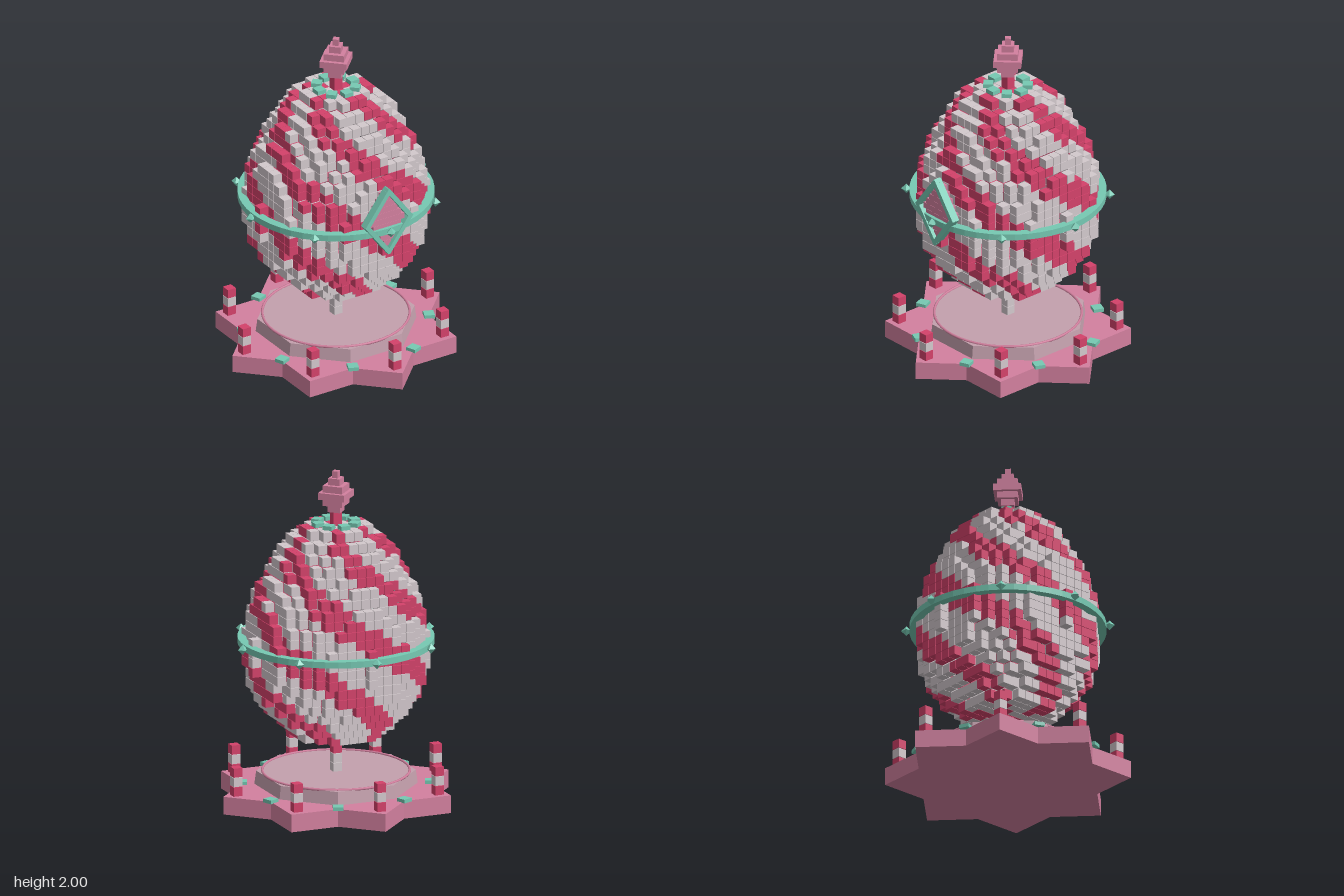
import * as THREE from 'three';
import { mergeGeometries } from 'three/addons/utils/BufferGeometryUtils.js';

const mat = (name, color) => {
  const m = new THREE.MeshStandardMaterial({ color });
  m.name = name;
  return m;
};

export function createModel() {
  const red = mat('red', 0xd4426b), white = mat('paleGrey', 0xd3c9cd);
  const pink = mat('pink', 0xd3809f), teal = mat('teal', 0x76c9b3);
  const plate = mat('dustyPink', 0xc4a0ad);
  const model = new THREE.Group();
  const P = 0.0575, CUBE = 0.0548, EGG_Y = 0.41;

  const add = (name, geo, material) => {
    const m = new THREE.Mesh(geo, material);
    m.name = name;
    model.add(m);
    return m;
  };
  const box = (w, h, d, x, y, z, turn = 0) =>
    new THREE.BoxGeometry(w, h, d).rotateY(turn).translate(x, y, z);
  const cube = (x, y, z) => box(CUBE, CUBE, CUBE, x, y, z);
  const flat = (geo) => {
    const g = geo.index ? geo.toNonIndexed() : geo;
    g.computeVertexNormals();
    return g;
  };
  // Calls fn(x, z, angle) at eight places around a circle
  const around = (r, start, fn) => {
    const list = [];
    for (let i = 0; i < 8; i++) {
      const a = start + i * Math.PI / 4;
      list.push(fn(r * Math.sin(a), r * Math.cos(a), a));
    }
    return list;
  };

  // Eight-pointed star base
  const star = new THREE.Shape();
  for (let i = 0; i < 16; i++) {
    const r = i % 2 ? 0.549 : 0.717, a = i * Math.PI / 8;
    if (i) star.lineTo(r * Math.cos(a), r * Math.sin(a));
    else star.moveTo(r, 0);
  }
  add('starBase', new THREE.ExtrudeGeometry(star, { depth: 0.107, bevelEnabled: false })
    .rotateX(-Math.PI / 2), pink);

  // Octagonal plate with a thin rim line
  add('basePlate', flat(new THREE.CylinderGeometry(0.465, 0.476, 0.08, 8)
    .rotateY(Math.PI / 8).translate(0, 0.146, 0)), plate);
  add('plateRim', new THREE.TorusGeometry(0.43, 0.008, 6, 48)
    .rotateX(Math.PI / 2).translate(0, 0.188, 0), pink);

  // Teal studs in the notches of the star
  add('baseStuds', mergeGeometries(around(0.55, Math.PI / 8,
    (x, z, a) => box(0.062, 0.022, 0.062, x, 0.116, z, a))), teal);

  // Banded corner posts
  for (let k = 0; k < 3; k++) {
    add('postBand' + k, mergeGeometries(around(0.635, 0,
      (x, z) => cube(x, 0.135 + k * P, z))), k === 1 ? white : red);
  }

  // Stem carrying the egg
  const stem = (ks) => mergeGeometries(ks.map((k) => cube(0, EGG_Y - (k + 0.5) * P, 0)));
  add('stemRed', stem([0, 1]), red);
  add('stemPale', stem([2, 3]), white);

  // Egg: layers of cubes, only the exposed ones, with five spiral stripes
  const radii = [4.6, 5.8, 6.8, 7.6, 8.2, 8.6, 8.9, 9.05, 9.05, 9.05, 9.05,
    8.9, 8.7, 8.4, 8.1, 7.7, 7.2, 6.7, 6.1, 5.4, 4.5, 3.3];
  const inside = (i, j, k) => j >= 0 && j < radii.length && i * i + k * k <= radii[j] ** 2;
  const redCubes = [], paleCubes = [];
  for (let j = 0; j < radii.length; j++) {
    for (let i = -9; i <= 9; i++) {
      for (let k = -9; k <= 9; k++) {
        if (!inside(i, j, k)) continue;
        const buried = inside(i + 1, j, k) && inside(i - 1, j, k) && inside(i, j + 1, k)
          && inside(i, j - 1, k) && inside(i, j, k + 1) && inside(i, j, k - 1);
        if (buried) continue;
        const t = 5 * Math.atan2(i, k) / (2 * Math.PI) + (j - 7.6) / 7.25;
        const list = Math.abs(t - Math.round(t)) < 0.21 ? redCubes : paleCubes;
        list.push(cube(i * P, EGG_Y + (j + 0.5) * P, k * P));
      }
    }
  }
  add('eggStripes', mergeGeometries(redCubes), red);
  add('eggShell', mergeGeometries(paleCubes), white);

  // Belt ring with eight small gems
  const section = [[0.525, 0.965], [0.575, 0.965], [0.575, 1.003], [0.525, 1.003], [0.525, 0.965]];
  add('beltRing', flat(new THREE.LatheGeometry(
    section.map(([x, y]) => new THREE.Vector2(x, y)), 48)), teal);
  add('beltGems', mergeGeometries(around(0.593, 0,
    (x, z, a) => new THREE.OctahedronGeometry(0.031).rotateY(a).translate(x, 0.984, z))), teal);

  // Diamond medallion: four frame bars around a stepped panel
  const cy = 1.045, hw = 0.148, hh = 0.198;
  const bars = [];
  for (const sx of [-1, 1]) {
    for (const sy of [-1, 1]) {
      bars.push(new THREE.BoxGeometry(0.028, Math.hypot(hw, hh) + 0.022, 0.05)
        .rotateZ(sx * sy * Math.atan2(hw, hh))
        .translate(sx * hw / 2, cy + sy * hh / 2, 0.55));
    }
  }
  add('medallionFrame', mergeGeometries(bars), teal);
  const steps = [];
  for (let n = -4; n <= 4; n++) {
    steps.push(box(0.24 * (1 - Math.abs(n) / 5), 0.036, 0.06, 0, cy + n * 0.037, 0.522));
  }
  add('medallionPanel', mergeGeometries(steps), pink);

  // Crown of teal slabs and the neck
  add('crownSlabs', mergeGeometries(around(0.115, 0,
    (x, z, a) => box(0.058, 0.025, 0.058, x, 1.688, z, a))), teal);
  add('neck', box(CUBE, 0.09, CUBE, 0, 1.715, 0), red);

  // Stepped finial
  const layers = [0.055, 0.085, 0.115, 0.085, 0.05, 0.025].map((d, i) =>
    box(d * Math.SQRT2, 0.041, d * Math.SQRT2, 0, 1.776 + i * 0.0407, 0, Math.PI / 4));
  add('finial', mergeGeometries(layers), pink);

  return model;
}
